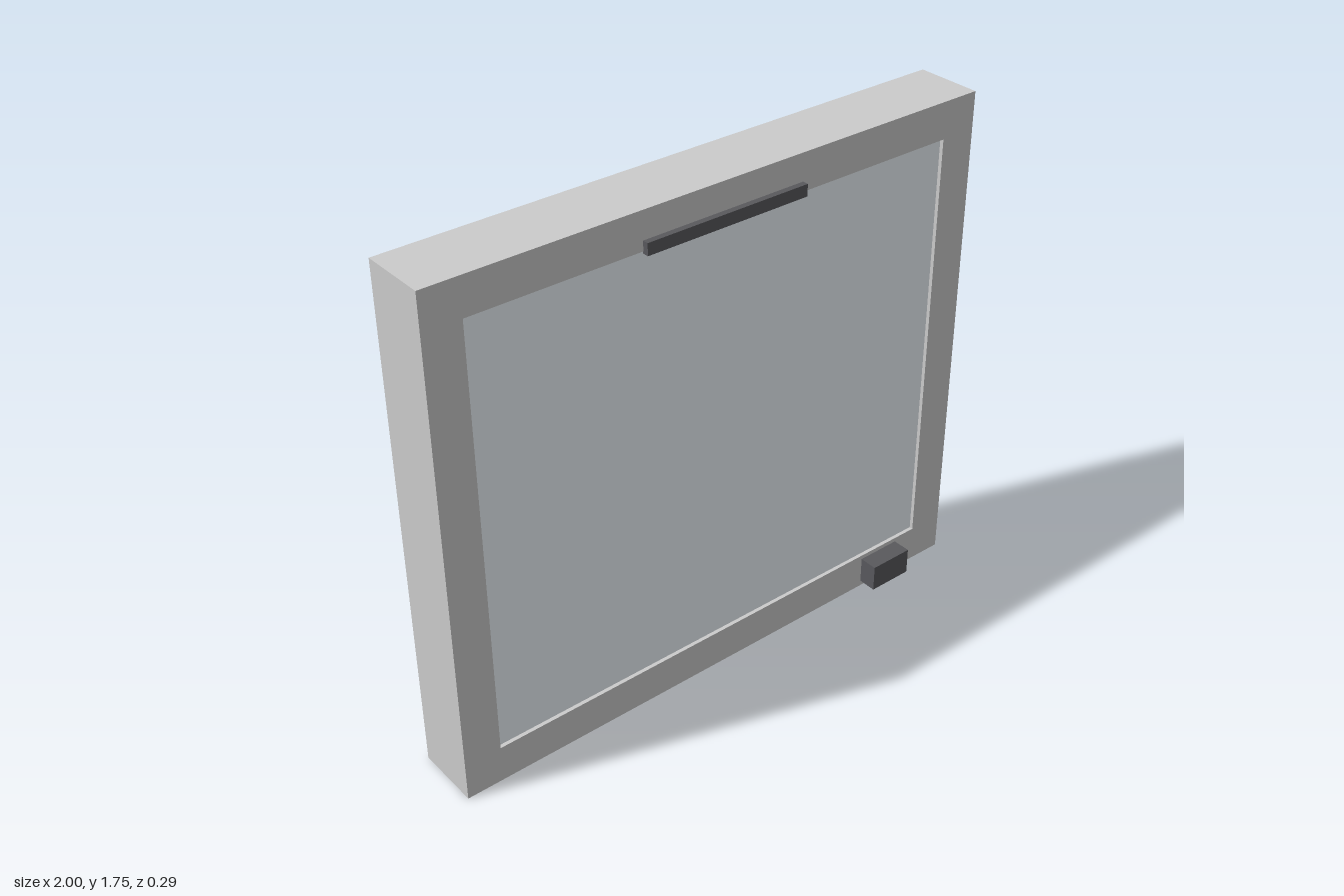
import * as THREE from 'three';

const W = 2, H = 1.745, BACK = -0.146, FRONT = 0.081, RECESS = 0.015;

export function createModel() {
  const group = new THREE.Group();
  const grey = new THREE.MeshStandardMaterial({ color: 0xcccccc });
  const glass = new THREE.MeshStandardMaterial({ color: 0xf1f7fd });
  const dark = new THREE.MeshStandardMaterial({ color: 0x59595d });

  // Box given by its minimum and maximum corners
  const addBox = (name, [x0, y0, z0], [x1, y1, z1], material) => {
    const mesh = new THREE.Mesh(new THREE.BoxGeometry(x1 - x0, y1 - y0, z1 - z0), material);
    mesh.position.set((x0 + x1) / 2, (y0 + y1) / 2, (z0 + z1) / 2);
    mesh.name = name;
    group.add(mesh);
  };
  const rect = (path, x0, y0, x1, y1) =>
    path.moveTo(x0, y0).lineTo(x1, y0).lineTo(x1, y1).lineTo(x0, y1).closePath();

  // Closed case behind the pane
  addBox('case', [-W / 2, 0, BACK], [W / 2, H, FRONT - RECESS], grey);

  // Raised border around the recessed pane
  const border = rect(new THREE.Shape(), -W / 2, 0, W / 2, H);
  border.holes.push(rect(new THREE.Path(), -0.873, 0.13, 0.873, 1.62));
  const frame = new THREE.Mesh(
    new THREE.ExtrudeGeometry(border, { depth: RECESS, bevelEnabled: false }), grey);
  frame.position.z = FRONT - RECESS;
  frame.name = 'frontFrame';
  group.add(frame);

  // Pane, top handle and lock
  addBox('pane', [-0.873, 0.13, FRONT - RECESS - 0.01], [0.873, 1.62, FRONT - RECESS + 0.002], glass);
  addBox('handle', [-0.292, 1.613, FRONT - 0.002], [0.292, 1.653, 0.101], dark);
  addBox('lock', [0.627, 0.02, FRONT - 0.002], [0.788, 0.115, 0.146], dark);

  return group;
}
